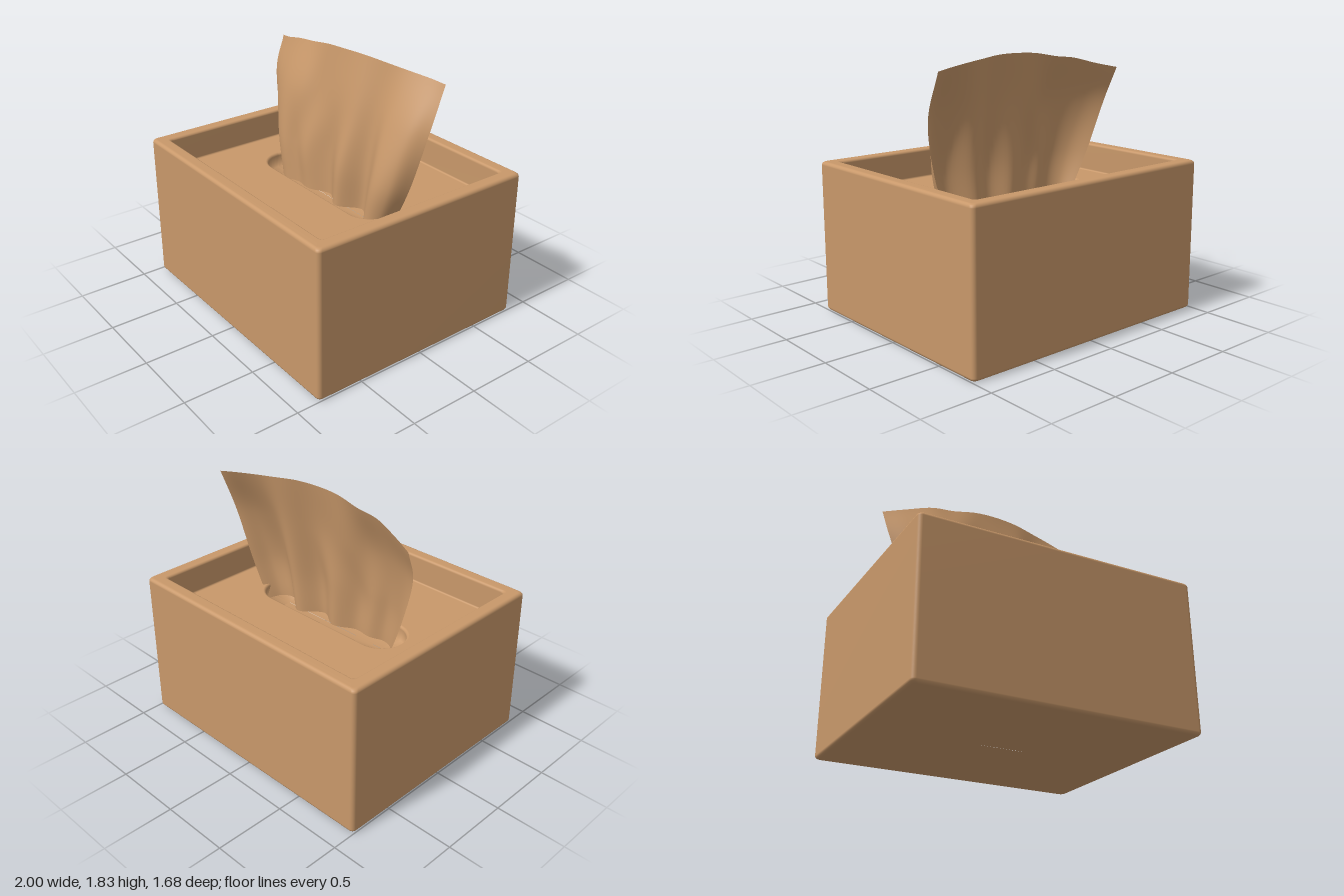
import * as THREE from 'three';

const tan = new THREE.MeshStandardMaterial({ color: 0xc8986a });
tan.name = 'tan';
const tanSheet = tan.clone();
tanSheet.name = 'tan';
tanSheet.side = THREE.DoubleSide;

// Rounded rectangle around the y axis, 8 steps per corner
function roundedLoop(hx, hz, r, y) {
  const pts = [];
  const signs = [[1, 1], [-1, 1], [-1, -1], [1, -1]];
  signs.forEach(([sx, sz], c) => {
    for (let i = 0; i <= 8; i++) {
      const a = (c + i / 8) * Math.PI / 2;
      pts.push([sx * (hx - r) + r * Math.cos(a), y, sz * (hz - r) + r * Math.sin(a)]);
    }
  });
  return pts;
}

// Skin a list of rows of points
function skin(rows, closed) {
  const n = rows[0].length, index = [];
  for (let k = 0; k < rows.length - 1; k++) {
    for (let i = 0; i < (closed ? n : n - 1); i++) {
      const a = k * n + i, b = k * n + (i + 1) % n;
      index.push(a, a + n, b, b, a + n, b + n);
    }
  }
  const g = new THREE.BufferGeometry();
  g.setAttribute('position', new THREE.Float32BufferAttribute(rows.flat(2), 3));
  g.setIndex(index);
  g.computeVertexNormals();
  return g;
}

// Box: rounded outside, stepped lid recess, then an oblong slot
function boxGeometry() {
  const rows = [];
  const W = 1, D = 0.84, H = 1.08, floor = 0.87, slotBottom = 0.76;
  const outer = (inset, y) => rows.push(roundedLoop(W - inset, D - inset, 0.03, y));
  const slot = (grow, y) => rows.push(roundedLoop(0.62 + grow, 0.17 + grow, 0.168 + grow, y));
  const fillet = (add, cx, cy, r, from, to) => {
    for (let i = 0; i <= 5; i++) {
      const a = (from + (to - from) * i / 5) * Math.PI / 180;
      add(cx + r * Math.cos(a), cy + r * Math.sin(a));
    }
  };
  rows.push(roundedLoop(0.16, 0.001, 0.001, 0));
  fillet(outer, 0.025, 0.025, 0.025, 270, 180);
  fillet(outer, 0.025, H - 0.025, 0.025, 180, 90);
  fillet(outer, 0.08, H - 0.018, 0.018, 90, 0);
  fillet(outer, 0.11, floor + 0.012, 0.012, 180, 270);
  fillet(slot, 0.02, floor - 0.02, 0.02, 90, 180);
  slot(0, slotBottom);
  rows.push(roundedLoop(0.45, 0.001, 0.001, slotBottom));
  return skin(rows, true);
}

// Tissue: four cross-sections from the slot to the top hem, splined both ways
function tissueGeometry() {
  const sections = [
    {
      x: [-0.56, -0.5, -0.41, -0.3, -0.17, -0.01, 0.15, 0.31, 0.46, 0.56, 0.6],
      y: Array(11).fill(0.77),
      z: [-0.04, 0.04, 0.07, 0.04, 0.05, -0.02, 0.06, -0.05, 0.06, 0.03, -0.08],
    },
    {
      x: [-0.69, -0.58, -0.46, -0.34, -0.2, -0.02, 0.17, 0.34, 0.52, 0.65, 0.72],
      y: Array(11).fill(1.08),
      z: [-0.08, 0.02, 0.065, 0.035, 0.045, -0.03, 0.045, -0.06, 0.045, 0.01, -0.11],
    },
    {
      x: [-0.81, -0.66, -0.5, -0.33, -0.17, 0.02, 0.2, 0.36, 0.52, 0.69, 0.805],
      y: Array(11).fill(1.45),
      z: [-0.13, -0.055, 0, 0.005, -0.04, -0.045, -0.04, -0.105, -0.07, -0.09, -0.165],
    },
    {
      x: [-0.84, -0.68, -0.5, -0.33, -0.15, 0.02, 0.2, 0.38, 0.55, 0.7, 0.81],
      y: [1.69, 1.725, 1.77, 1.79, 1.82, 1.83, 1.83, 1.815, 1.8, 1.785, 1.77],
      z: [-0.22, -0.165, -0.125, -0.122, -0.11, -0.115, -0.14, -0.18, -0.22, -0.26, -0.285],
    },
  ];
  const across = sections.map(({ x, y, z }) =>
    new THREE.CatmullRomCurve3(x.map((v, i) => new THREE.Vector3(v, y[i], z[i])), false, 'catmullrom', 0.5));
  const NU = 80, NV = 36;
  const rows = Array.from({ length: NV + 1 }, () => []);
  for (let i = 0; i <= NU; i++) {
    const up = new THREE.CatmullRomCurve3(across.map(c => c.getPoint(i / NU)), false, 'catmullrom', 0.5);
    for (let k = 0; k <= NV; k++) rows[k].push(up.getPoint(k / NV).toArray());
  }
  // Reverse each row so the front of the sheet faces +z
  return skin(rows.map(r => r.reverse()), false);
}

export function createModel() {
  const group = new THREE.Group();
  group.name = 'tissueBox';
  const box = new THREE.Mesh(boxGeometry(), tan);
  box.name = 'box';
  const tissue = new THREE.Mesh(tissueGeometry(), tanSheet);
  tissue.name = 'tissue';
  group.add(box, tissue);
  return group;
}
